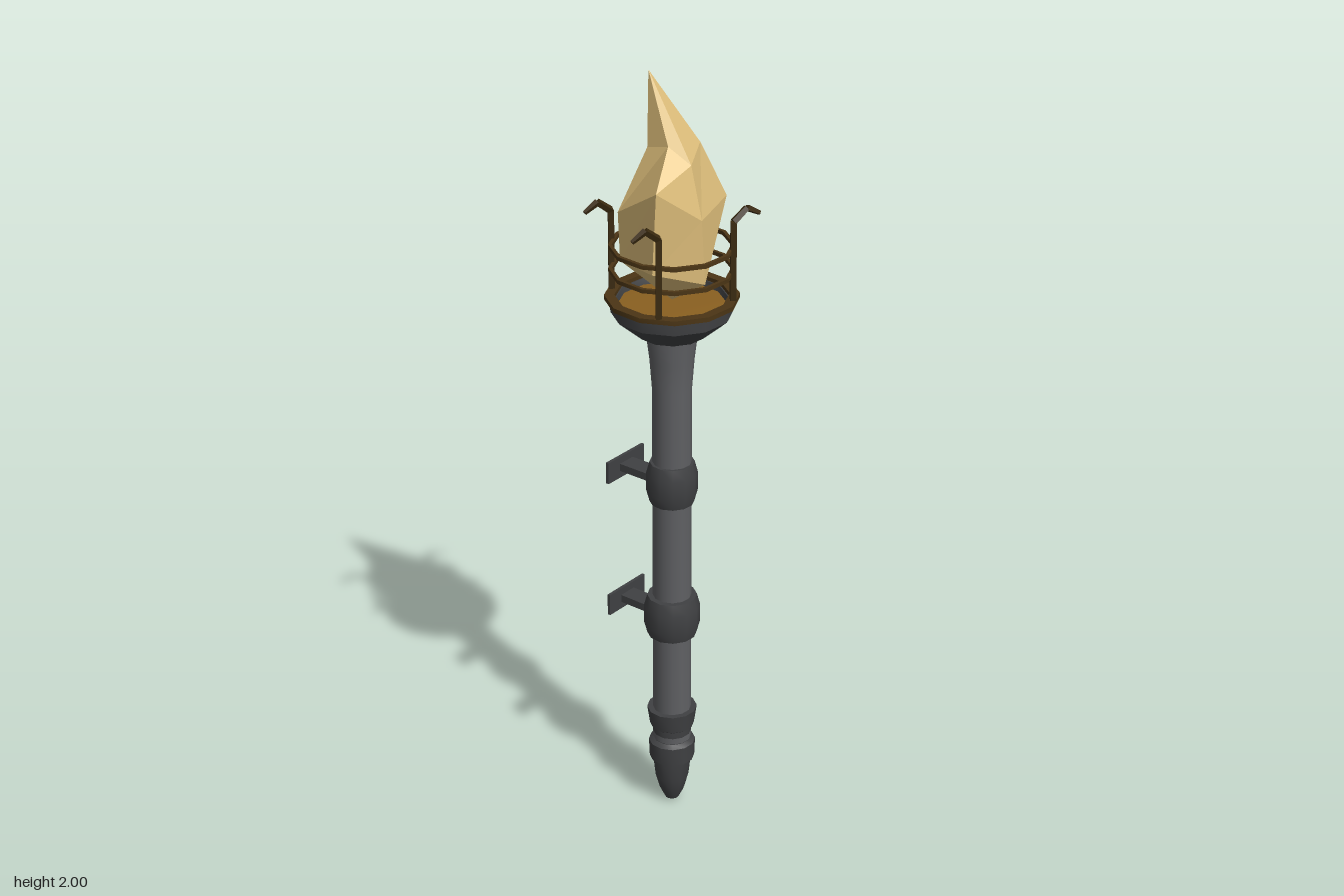
import * as THREE from 'three';
import { toCreasedNormals } from 'three/addons/utils/BufferGeometryUtils.js';

const mat = (color, opts = {}) => new THREE.MeshStandardMaterial({ color, ...opts });
const V = (x, y, z) => new THREE.Vector3(x, y, z);

export function createModel() {
  const group = new THREE.Group();
  const steel = mat(0x606164);
  const darkSteel = mat(0x404143, { side: THREE.DoubleSide });
  const bronze = mat(0x4b3515);
  const darkBronze = mat(0x3a2a10);
  const ember = mat(0x8a6020);
  const flameMat = mat(0xe0c07c, { flatShading: true });
  const turn = THREE.MathUtils.degToRad(10.5);

  const add = (name, geometry, material, parent = group) => {
    const mesh = new THREE.Mesh(geometry, material);
    mesh.name = name;
    parent.add(mesh);
    return mesh;
  };
  // Twelve-sided turned part from [radius, height] pairs
  const turned = (name, profile, material) => {
    const points = profile.map(([r, y]) => new THREE.Vector2(r, y));
    const lathe = new THREE.LatheGeometry(points, 12, turn);
    return add(name, toCreasedNormals(lathe, 0.6), material);
  };
  // Square bar between two points, optionally tapered
  const bar = (name, a, b, r0, r1, parent) => {
    const d = b.clone().sub(a);
    const mesh = add(name, new THREE.CylinderGeometry(r1, r0, d.length(), 4).toNonIndexed(), darkBronze, parent);
    mesh.geometry.computeVertexNormals();
    mesh.position.copy(a).add(b).multiplyScalar(0.5);
    mesh.quaternion.setFromUnitVectors(V(0, 1, 0), d.normalize());
  };

  // Handle with flared top, and its pommel
  turned('shaft', [[0.049, 0.2], [0.049, 1.2], [0.055, 1.28], [0.065, 1.36]], steel);
  turned('pommel', [
    [0, 0.005], [0.018, 0.012], [0.032, 0.04], [0.043, 0.08], [0.049, 0.135],
    [0.058, 0.14], [0.06, 0.19], [0.048, 0.198], [0.05, 0.235],
    [0.057, 0.24], [0.064, 0.29], [0.049, 0.29],
  ], darkSteel);

  // Bulging collars, each carrying a wall bracket
  for (const [y, r] of [[0.945, 0.064], [0.567, 0.071]]) {
    turned('collar', [
      [0.048, y - 0.055], [r - 0.008, y - 0.055], [r, y - 0.025], [r, y + 0.025],
      [r - 0.008, y + 0.055], [0.048, y + 0.055],
    ], darkSteel);
    const bracket = new THREE.Group();
    bracket.name = 'wallBracket';
    bracket.position.y = y;
    group.add(bracket);
    add('bracketArm', new THREE.BoxGeometry(0.1, 0.02, 0.05), darkSteel, bracket).position.x = -0.1;
    add('bracketPlate', new THREE.BoxGeometry(0.008, 0.058, 0.14), darkSteel, bracket).position.x = -0.15;
  }

  // Bowl, ember bed and rim
  turned('bowl', [
    [0, 1.35], [0.085, 1.35], [0.148, 1.405], [0.15, 1.44], [0.135, 1.44], [0.13, 1.42],
  ], darkSteel);
  turned('emberBed', [[0.134, 1.425], [0, 1.43]], ember);
  turned('rim', [
    [0.138, 1.438], [0.163, 1.438], [0.163, 1.45], [0.138, 1.45], [0.138, 1.438],
  ], bronze);

  // Two thin hoops of the basket
  for (const y of [1.515, 1.575]) {
    turned('hoop', [
      [0.143, y - 0.005], [0.152, y - 0.005], [0.152, y + 0.005],
      [0.143, y + 0.005], [0.143, y - 0.005],
    ], bronze);
  }

  // Four posts whose hooked tips lean to the front or the back
  for (const s of [1, -1]) {
    for (const [x, z] of [[0.066, 0.133], [-0.136, 0.062]]) {
      const post = new THREE.Group();
      post.name = 'hookedPost';
      group.add(post);
      const at = (t, y) => V(s * (x - 0.025 * t), y, s * (z + 0.067 * t));
      const path = [at(0, 1.445), at(0, 1.65), at(0.5, 1.678), at(1, 1.658)];
      const radii = [0.01, 0.01, 0.009, 0.006];
      for (let i = 0; i < 3; i++) bar('postBar', path[i], path[i + 1], radii[i], radii[i + 1], post);
    }
  }

  // Faceted flame: three uneven rings between a bottom point and a leaning tip
  const rings = [
    [[0.1, 1.5, 0], [0.04, 1.55, 0.125], [-0.09, 1.54, 0.085], [-0.122, 1.55, 0], [-0.085, 1.51, -0.08], [0.04, 1.52, -0.1]],
    [[0.105, 1.67, 0.02], [0.06, 1.76, 0.135], [-0.1, 1.66, 0.08], [-0.1, 1.69, -0.01], [-0.1, 1.66, -0.075], [0.05, 1.67, -0.147]],
    [[0.073, 1.8, 0.02], [0.02, 1.84, 0.04], [-0.05, 1.82, 0.03], [-0.065, 1.83, 0], [-0.04, 1.83, -0.045], [0.025, 1.82, -0.075]],
  ];
  const vertices = [[0, 1.435, 0], ...rings.flat(), [-0.065, 2, 0.006]];
  const index = [];
  for (let k = 0; k < 6; k++) {
    const n = (k + 1) % 6;
    index.push(0, 1 + k, 1 + n);
    for (let r = 0; r < 2; r++) {
      const a = 1 + r * 6 + k, b = 1 + r * 6 + n;
      index.push(a, a + 6, b, b, a + 6, b + 6);
    }
    index.push(13 + k, 19, 13 + n);
  }
  const flame = new THREE.BufferGeometry();
  flame.setAttribute('position', new THREE.Float32BufferAttribute(vertices.flat(), 3));
  flame.setIndex(index);
  flame.computeVertexNormals();
  add('flame', flame, flameMat);

  return group;
}
